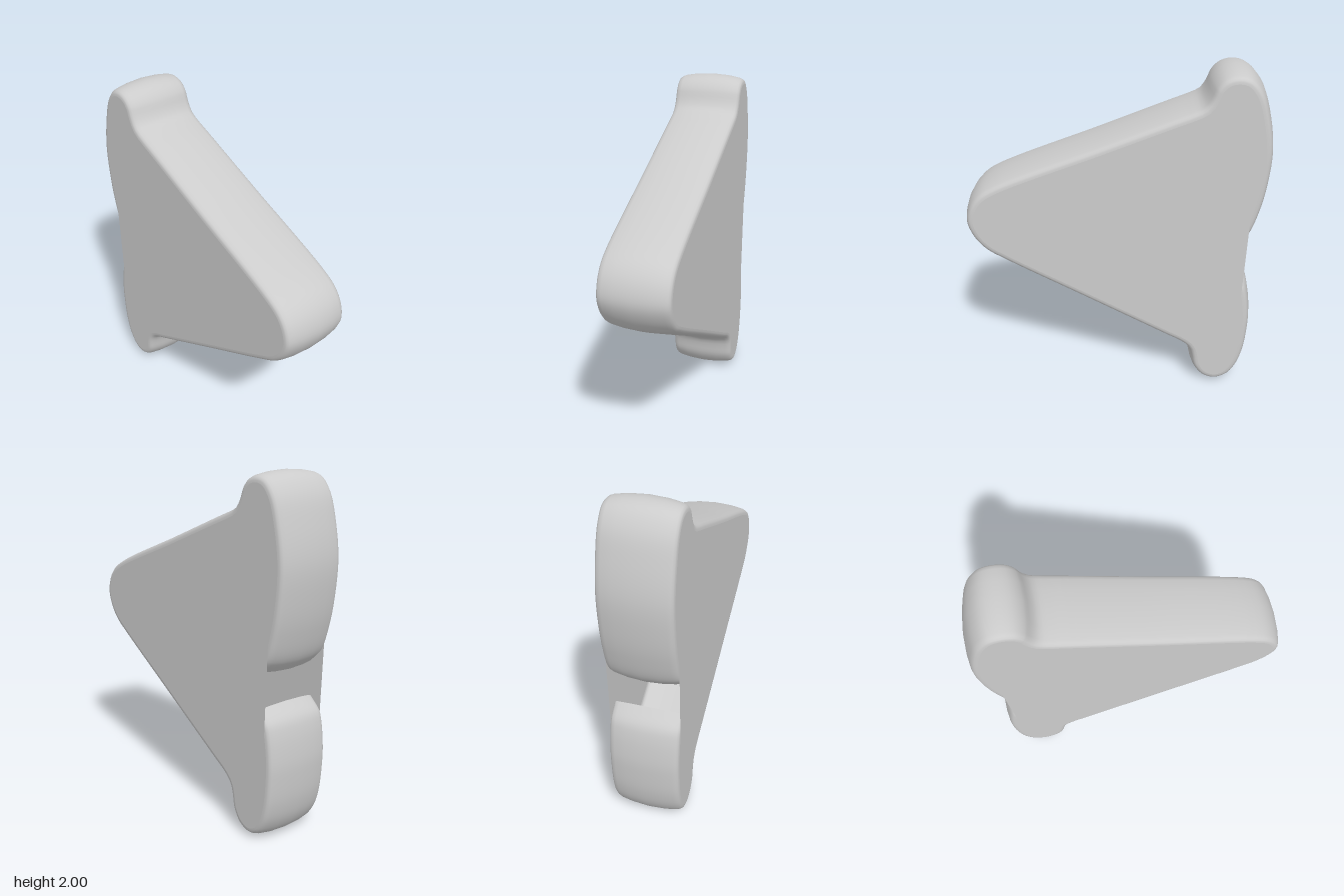
import * as THREE from 'three';

const HALF = 0.2; // half thickness

// Rim centreline, counter-clockwise, open at the slot on the -x side
const OUTLINE = [
  [-0.70, 0.79], [-0.775, 0.72], [-0.80, 0.65], [-0.82, 0.5], [-0.82, 0.4], [-0.805, 0.24],
  [-0.77, 0.12], [-0.71, 0.035], [-0.62, 0], [-0.53, 0.03], [-0.47, 0.11], [-0.45, 0.2],
  [-0.435, 0.245], [-0.39, 0.285], [-0.3, 0.335], [0.2, 0.614], [0.65, 0.865], [0.76, 0.935],
  [0.83, 1.02], [0.865, 1.12], [0.845, 1.22], [0.79, 1.3], [0.7, 1.36], [0.1, 1.598],
  [-0.3, 1.757], [-0.41, 1.8], [-0.46, 1.825], [-0.49, 1.87], [-0.515, 1.93], [-0.565, 1.98],
  [-0.64, 2], [-0.72, 1.98], [-0.79, 1.9], [-0.84, 1.75], [-0.87, 1.56], [-0.86, 1.37],
  [-0.83, 1.2], [-0.775, 1.04], [-0.71, 0.97],
];

// Rim cross-section: [z, inset from the outline]
const HALF_PROFILE = [
  [HALF, 0.055], [0.1985, 0.044], [0.195, 0.034], [0.185, 0.025], [0.165, 0.017], [0.1, 0.006],
];
const PROFILE = [
  ...HALF_PROFILE, [0, 0],
  ...HALF_PROFILE.map(([z, d]) => [-z, d]).reverse(),
];

const STEPS = 240;
const curve = new THREE.CatmullRomCurve3(OUTLINE.map(([x, y]) => new THREE.Vector3(x, y, 0)));

// Point on the outline moved inward by d
function insetPoint(i, d) {
  const p = curve.getPointAt(i / STEPS);
  const t = curve.getTangentAt(i / STEPS);
  return new THREE.Vector2(p.x - t.y * d, p.y + t.x * d);
}

// Bulging wall swept along the outline
function rimGeometry() {
  const positions = [];
  const indices = [];
  const n = PROFILE.length;
  for (let i = 0; i <= STEPS; i++) {
    for (const [z, d] of PROFILE) {
      const p = insetPoint(i, d);
      positions.push(p.x, p.y, z);
    }
  }
  for (let i = 0; i < STEPS; i++) {
    for (let j = 0; j < n - 1; j++) {
      const a = i * n + j;
      indices.push(a, a + 1, a + n, a + 1, a + n + 1, a + n);
    }
  }
  const geometry = new THREE.BufferGeometry();
  geometry.setAttribute('position', new THREE.Float32BufferAttribute(positions, 3));
  geometry.setIndex(indices);
  geometry.computeVertexNormals();
  return geometry;
}

// Flat side plate, cut straight across the slot
function plateGeometry() {
  const points = [];
  for (let i = 0; i <= STEPS; i++) {
    const p = insetPoint(i, HALF_PROFILE[0][1]);
    const inSlot = p.x < -0.5 && p.y > 0.66 && p.y < 1.14;
    if (!inSlot) points.push(p);
  }
  return new THREE.ShapeGeometry(new THREE.Shape(points));
}

export function createModel() {
  const material = new THREE.MeshStandardMaterial({ color: 0xcccccc, side: THREE.DoubleSide });
  const group = new THREE.Group();
  group.name = 'roundedWedge';
  const add = (name, geometry) => {
    const mesh = new THREE.Mesh(geometry, material);
    mesh.name = name;
    group.add(mesh);
    return mesh;
  };

  add('rim', rimGeometry());
  add('frontPlate', plateGeometry()).position.z = HALF;

  // Back plate: same shape with the winding turned to face -z
  const back = plateGeometry();
  back.index.array.reverse();
  back.computeVertexNormals();
  add('backPlate', back).position.z = -HALF;

  return group;
}
